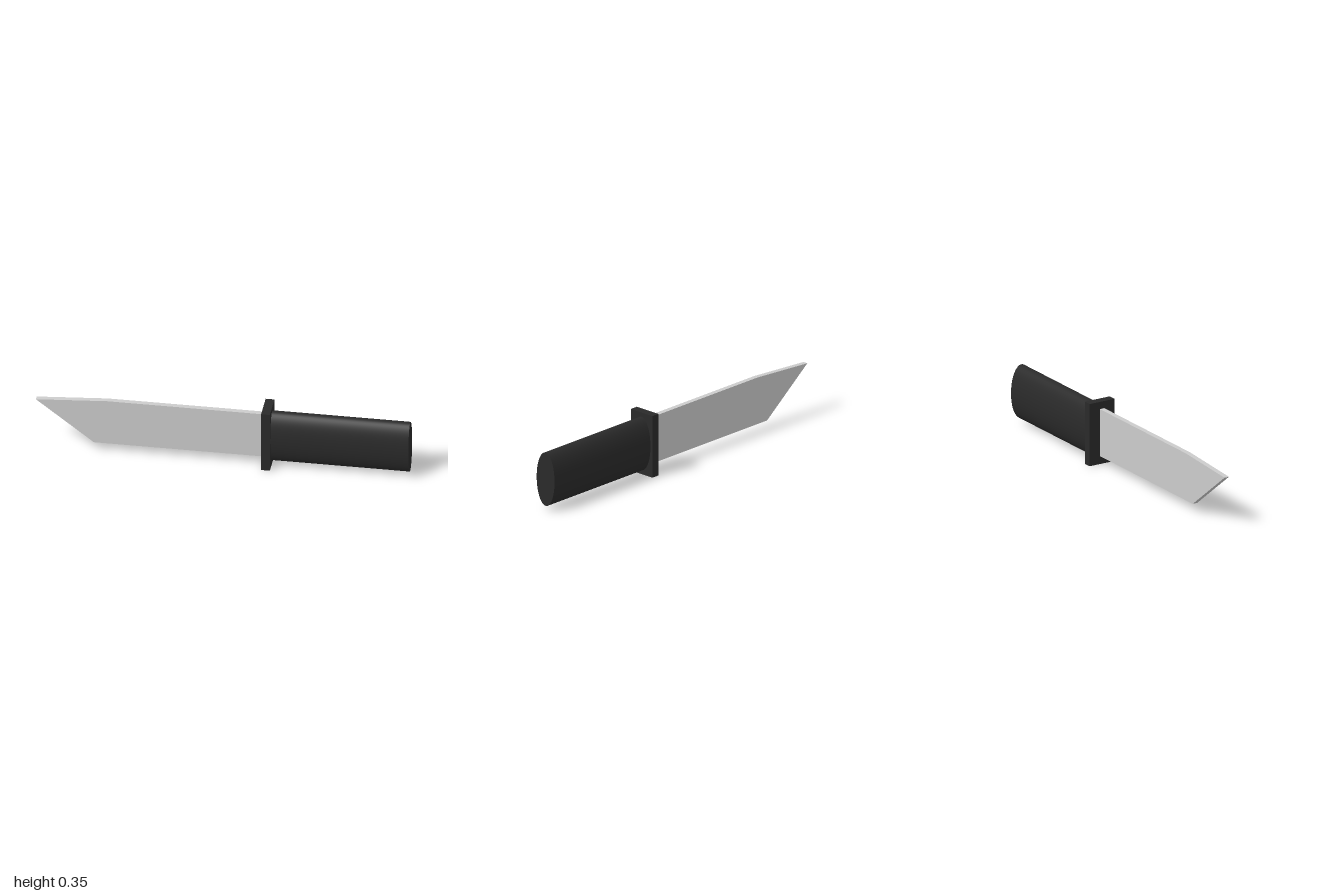
import * as THREE from 'three';

export function createModel() {
  const model = new THREE.Group();
  const steel = new THREE.MeshStandardMaterial({ color: 0xcccccc });
  const black = new THREE.MeshStandardMaterial({ color: 0x2a2a2a });

  const add = (name, geometry, material) => {
    const mesh = new THREE.Mesh(geometry, material);
    mesh.name = name;
    model.add(mesh);
  };

  // Flat blade with a slanted point and a slightly dropped spine
  const outline = new THREE.Shape([
    [-1, 0.283], [-0.69, 0.045], [0.23, 0.045], [0.23, 0.308], [-0.62, 0.308],
  ].map(([x, y]) => new THREE.Vector2(x, y)));
  const thickness = 0.028;
  const blade = new THREE.ExtrudeGeometry(outline, { depth: thickness, bevelEnabled: false });
  blade.translate(0, 0, -thickness / 2);
  add('blade', blade, steel);

  // Rectangular hand guard
  const guard = new THREE.BoxGeometry(0.047, 0.348, 0.156);
  guard.translate(0.238, 0.174, 0);
  add('guard', guard, black);

  // Oval grip: a cylinder laid along x and squashed in z
  const grip = new THREE.CylinderGeometry(1, 1, 0.75, 64);
  grip.rotateZ(-Math.PI / 2);
  grip.scale(1, 0.15, 0.065);
  grip.translate(0.625, 0.174, 0);
  add('grip', grip, black);

  return model;
}
